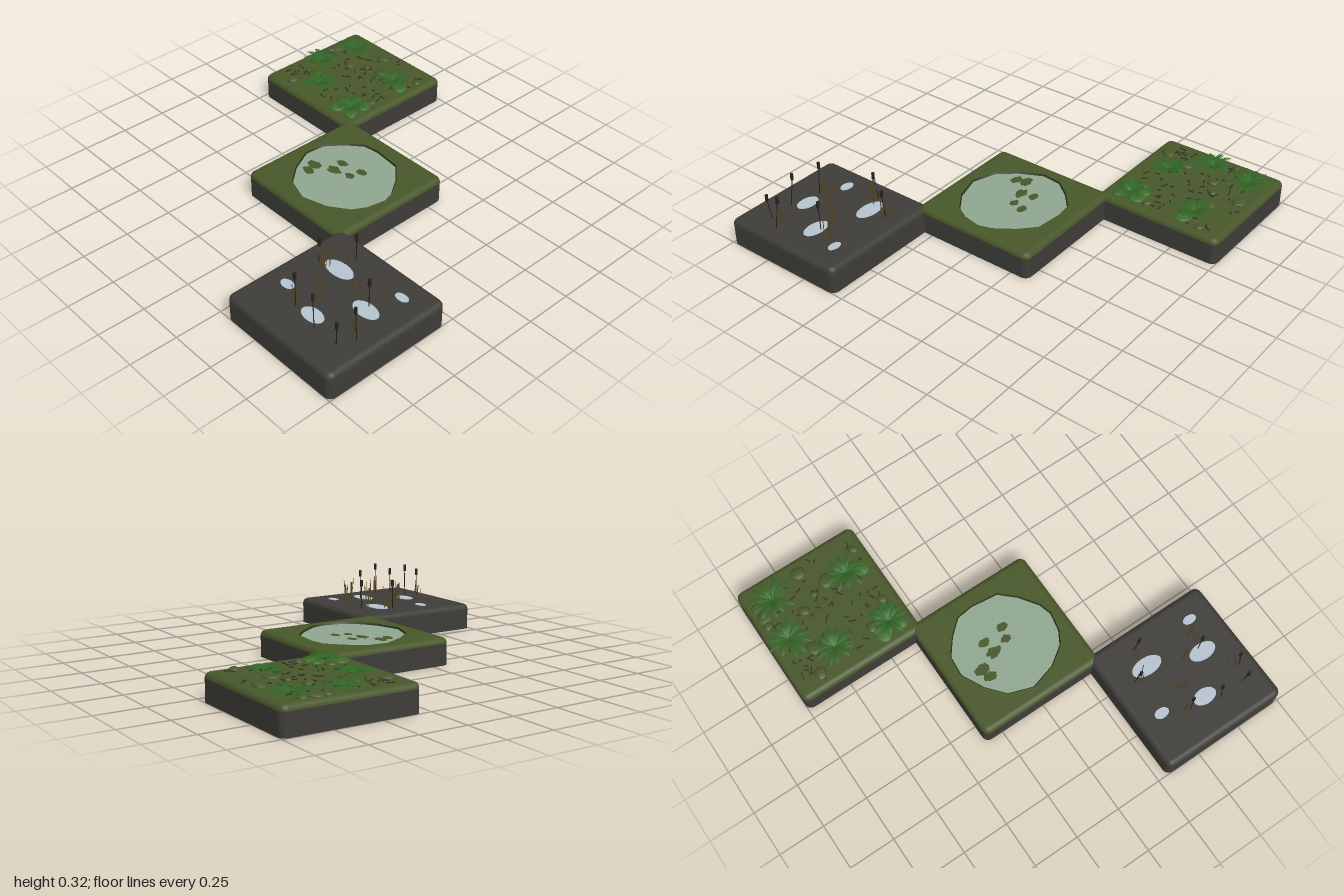
import * as THREE from 'three';
import { mergeGeometries } from 'three/addons/utils/BufferGeometryUtils.js';

const mat = (name, color, side = THREE.FrontSide) => {
  const m = new THREE.MeshStandardMaterial({ color, side });
  m.name = name;
  return m;
};

const TOP = 0.14;

// Small seeded random generator
function seeded(seed) {
  return () => {
    seed = (seed * 16807) % 2147483647;
    return seed / 2147483647;
  };
}

// Points [x, z] of a rounded square
function roundedSquare(half, r, n = 6) {
  const pts = [];
  for (let c = 0; c < 4; c++) {
    const mid = (c + 0.5) * Math.PI / 2;
    const cx = Math.sign(Math.cos(mid)) * (half - r), cz = Math.sign(Math.sin(mid)) * (half - r);
    for (let i = 0; i <= n; i++) {
      const a = (c + i / n) * Math.PI / 2;
      pts.push([cx + r * Math.cos(a), cz + r * Math.sin(a)]);
    }
  }
  return pts;
}

// Skin over a stack of closed rings {pts, y}
function loft(rings) {
  const pos = [], idx = [], n = rings[0].pts.length;
  rings.forEach(({ pts, y }) => pts.forEach(([x, z]) => pos.push(x, y, z)));
  for (let j = 0; j < rings.length - 1; j++) {
    for (let i = 0; i < n; i++) {
      const a = j * n + i, b = j * n + (i + 1) % n;
      idx.push(a, a + n, b + n, a, b + n, b);
    }
  }
  const g = new THREE.BufferGeometry();
  g.setAttribute('position', new THREE.Float32BufferAttribute(pos, 3));
  g.setIndex(idx);
  g.computeVertexNormals();
  return g;
}

const outline = (pts) => pts.map(([x, z]) => new THREE.Vector2(x, -z));

// Flat horizontal plate facing up
function plate(pts, y, hole) {
  const s = new THREE.Shape(outline(pts));
  if (hole) s.holes.push(new THREE.Path(outline(hole)));
  return new THREE.ShapeGeometry(s).rotateX(-Math.PI / 2).translate(0, y, 0);
}

function add(group, name, geo, material) {
  const m = new THREE.Mesh(geo, material);
  m.name = name;
  group.add(m);
  return m;
}

// Square slab with softened top edge
function tile(name, centre, sideMat, topMat, hole) {
  const g = new THREE.Group();
  g.name = name;
  g.position.set(centre, 0, centre);
  const ring = (y, inset) => ({ y, pts: roundedSquare(0.35 - inset, 0.036 - inset) });
  const base = ring(0, 0);
  add(g, 'slabSides', loft([base, ring(0.112, 0)]), sideMat);
  add(g, 'slabBottom', plate(base.pts, 0).rotateX(Math.PI), sideMat);
  const bevel = [];
  for (let i = 0; i <= 5; i++) {
    const a = i / 5 * Math.PI / 2;
    bevel.push(ring(0.112 + 0.028 * Math.sin(a), 0.028 * (1 - Math.cos(a))));
  }
  add(g, 'slabEdge', loft(bevel), topMat);
  add(g, 'slabTop', plate(bevel[5].pts, TOP, hole), topMat);
  return g;
}

// One fern: arching fronds with paired leaflets
function fernGeometry(x, z, radius, rand) {
  const pos = [];
  const fronds = 11, steps = 11;
  for (let f = 0; f < fronds; f++) {
    const a = (f + rand() * 0.6) / fronds * Math.PI * 2, len = radius * (0.8 + rand() * 0.3);
    const c = Math.cos(a), s = Math.sin(a), lift = 0.016 + rand() * 0.008;
    const at = (t, w, dy = 0) => [x + c * t * len - s * w, TOP + 0.003 + lift * Math.sin(t * 2.6) + dy, z + s * t * len + c * w];
    for (let i = 1; i < steps; i++) {
      const t = i / steps, w = 0.024 * Math.sin(Math.PI * (0.15 + 0.8 * t));
      for (const k of [-1, 1]) {
        const tri = [at(t - 0.05, 0), at(t + 0.05, 0), at(t + 0.09, k * w, -0.003)];
        if (k > 0) tri.reverse();
        pos.push(...tri[0], ...tri[2], ...tri[1]);
      }
    }
  }
  const g = new THREE.BufferGeometry();
  g.setAttribute('position', new THREE.Float32BufferAttribute(pos, 3));
  g.computeVertexNormals();
  return g;
}

export function createModel() {
  const model = new THREE.Group();
  model.name = 'swampTiles';
  const mud = mat('mud', 0x3e3d38), moss = mat('moss', 0x48572a), edge = mat('bankShade', 0x2b3119);
  const pond = mat('pondWater', 0x8fa78f), puddleMat = mat('puddleWater', 0xb6c4d0);
  const fernMat = mat('fernGreen', 0x2f6424, THREE.DoubleSide), bush = mat('bushGreen', 0x3f6a2c);
  const litter = mat('litterBrown', 0x35352a), stalk = mat('stalkBrown', 0x5a4a26), headMat = mat('cattailDark', 0x26221c);
  const rand = seeded(4711);

  // Forest floor tile
  const forest = tile('forestTile', -0.65, mud, moss);
  model.add(forest);
  const ferns = [[-0.205, -0.215, 0.115], [0.185, -0.13, 0.11], [-0.24, 0.015, 0.115], [-0.07, 0.185, 0.11], [0.23, 0.22, 0.1]];
  ferns.forEach(([x, z, r]) => add(forest, 'fern', fernGeometry(x, z, r, rand), fernMat));

  // Flattened mossy stones and bushes
  const mound = (name, m) => ([x, z, r]) => {
    const d = add(forest, name, new THREE.SphereGeometry(r, 14, 8, 0, Math.PI * 2, 0, Math.PI / 2), m);
    d.scale.set(1, 0.016 / r, 0.85);
    d.position.set(x, TOP, z);
    d.rotation.y = x * 9;
  };
  [[-0.02, -0.265, 0.042], [0.08, -0.15, 0.044], [-0.295, -0.22, 0.028], [-0.285, -0.15, 0.045], [-0.295, -0.1, 0.03],
    [-0.1, -0.07, 0.032], [-0.01, -0.12, 0.022], [0.29, -0.22, 0.028], [0.265, 0.1, 0.03],
    [-0.165, 0.13, 0.042], [-0.205, 0.265, 0.038], [0.14, 0.2, 0.035]].forEach(mound('mossyStone', moss));
  [[0.265, -0.11, 0.048], [0.17, 0.265, 0.05], [0.26, 0.16, 0.048], [0.2, 0.16, 0.036], [0.27, 0.26, 0.042]].forEach(mound('bush', bush));

  // Twigs and dead leaves
  const bits = [];
  for (let i = 0; i < 85; i++) {
    bits.push(new THREE.BoxGeometry(0.016 + rand() * 0.024, 0.005, 0.007)
      .rotateY(rand() * Math.PI)
      .translate((rand() - 0.5) * 0.6, TOP + 0.002, (rand() - 0.5) * 0.6));
  }
  add(forest, 'leafLitter', mergeGeometries(bits), litter);

  // Pond tile with sunken water
  const shore = [[0.29, 0], [0.27, 0.1], [0.23, 0.17], [0.13, 0.24], [-0.01, 0.28], [-0.14, 0.235], [-0.22, 0.14], [-0.28, 0.02],
    [-0.27, -0.09], [-0.2, -0.18], [-0.12, -0.25], [-0.03, -0.262], [0.12, -0.245], [0.2, -0.17], [0.27, -0.07]];
  const pool = tile('pondTile', 0, mud, moss, shore);
  model.add(pool);
  const inner = shore.map(([x, z]) => [x * 0.98, z * 0.98]);
  add(pool, 'pondBank', loft([{ pts: shore, y: TOP }, { pts: inner, y: 0.131 }]), edge);
  add(pool, 'pondSurface', plate(inner, 0.131), pond);

  // Ragged floating weed patches
  [[-0.172, 0.055, 0.042], [-0.16, 0.105, 0.038], [-0.085, -0.06, 0.034], [0.035, -0.08, 0.033], [-0.07, 0.01, 0.044], [0.02, -0.015, 0.03]]
    .forEach(([x, z, r]) => {
      const pts = [];
      for (let i = 0; i < 16; i++) {
        const a = i / 16 * Math.PI * 2, q = r * (0.7 + rand() * 0.4);
        pts.push([x + Math.cos(a) * q, z + Math.sin(a) * q * 0.75]);
      }
      add(pool, 'floatingWeed', plate(pts, 0.134), moss);
    });

  // Mud tile with puddles
  const marsh = tile('mudTile', 0.65, mud, mud);
  model.add(marsh);
  [[-0.13, -0.14, 0.085, 0.045], [0.2, -0.22, 0.038, 0.023], [0.15, -0.045, 0.075, 0.043], [-0.215, 0.1, 0.04, 0.026], [0.015, 0.15, 0.064, 0.04]]
    .forEach(([x, z, rx, rz]) => {
      const p = add(marsh, 'puddle', new THREE.CylinderGeometry(1, 1, 0.003, 28), puddleMat);
      p.scale.set(rx, 1, rz);
      p.position.set(x, TOP + 0.001, z);
    });

  // Straight thin stem between two points
  const stem = (a, b, r) => new THREE.TubeGeometry(new THREE.LineCurve3(a, b), 1, r, 5);
  const V = (x, y, z) => new THREE.Vector3(x, y, z);

  // Cattails: x, z, height of the head's top
  [[-0.215, -0.095, 0.3], [-0.12, -0.24, 0.3], [-0.09, 0.16, 0.325], [0.065, 0.19, 0.325], [0.145, -0.07, 0.305], [0.23, 0.2, 0.28], [0.245, 0.105, 0.315]]
    .forEach(([x, z, h]) => {
      const cat = new THREE.Group();
      cat.name = 'cattail';
      marsh.add(cat);
      const lean = (rand() - 0.5) * 0.05;
      add(cat, 'cattailStem', stem(V(x + lean, TOP, z + lean * 0.6), V(x, h - 0.03, z), 0.0025), headMat);
      const head = add(cat, 'cattailHead', new THREE.CylinderGeometry(0.008, 0.008, 0.036, 8), headMat);
      head.position.set(x, h - 0.018, z);
    });

  // Clumps of dry reeds: x, z, height
  [[-0.2, -0.1, 0.13], [-0.13, -0.23, 0.1], [-0.06, 0.06, 0.125], [0.055, -0.09, 0.115], [0.15, -0.14, 0.13], [0.235, 0.09, 0.11], [-0.1, 0.17, 0.1]]
    .forEach(([x, z, h]) => {
      const reeds = [];
      for (let i = 0; i < 7; i++) {
        const bx = x + (rand() - 0.5) * 0.05, bz = z + (rand() - 0.5) * 0.05;
        reeds.push(stem(V(bx, TOP, bz), V(bx + (rand() - 0.5) * 0.02, TOP + h * (0.6 + rand() * 0.4), bz + (rand() - 0.5) * 0.02), 0.0022));
      }
      add(marsh, 'reedClump', mergeGeometries(reeds), stalk);
    });

  return model;
}
